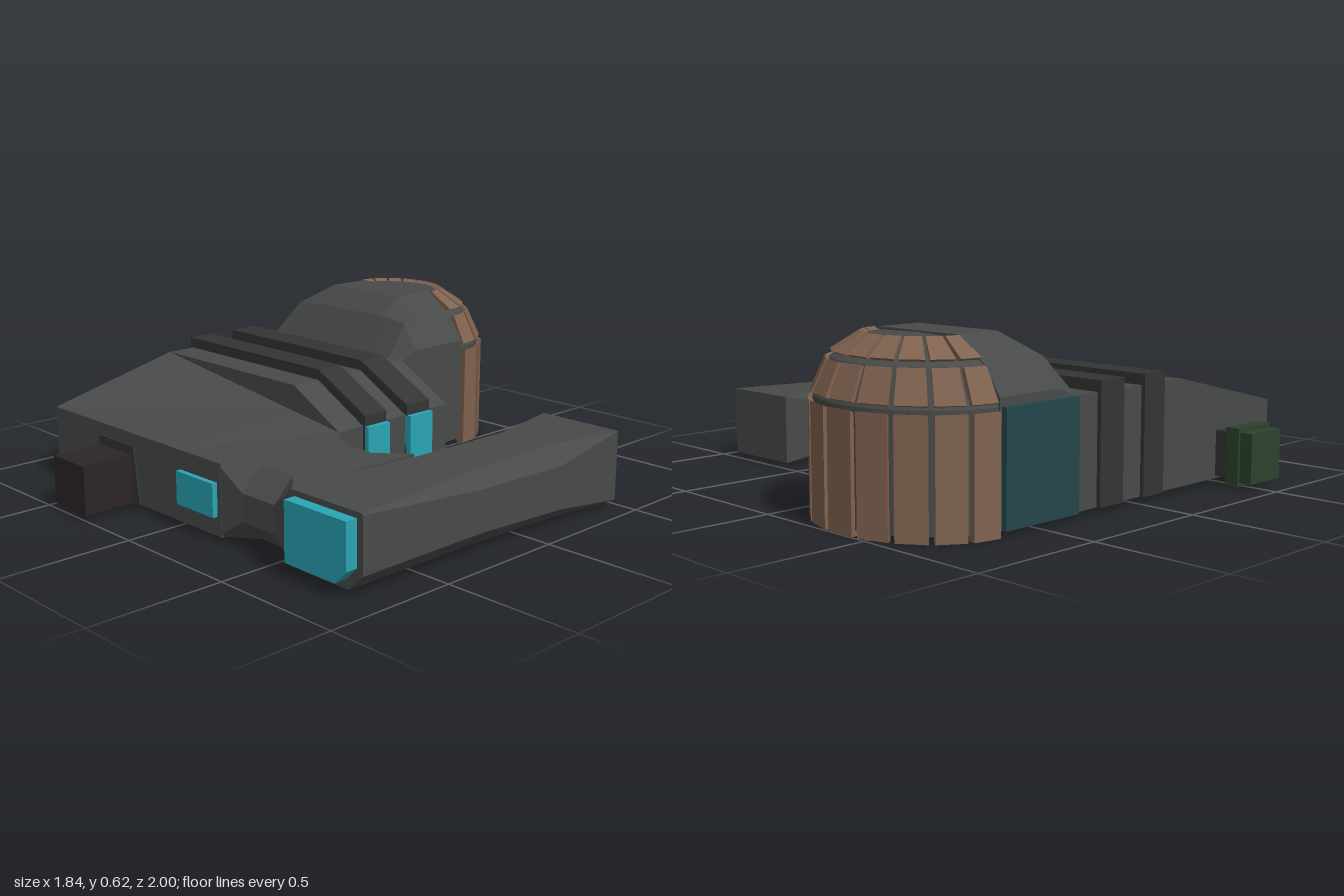
import * as THREE from 'three';
import { ConvexGeometry } from 'three/addons/geometries/ConvexGeometry.js';

const mat = (color) => new THREE.MeshStandardMaterial({ color, flatShading: true, side: THREE.DoubleSide });
const HULL = mat(0x484a4a), DARK = mat(0x333434), ENTRY = mat(0x2c2526), TEAL = mat(0x24474b);
const GLASS = mat(0x2aa5b5), BROWN = mat(0x80624f), GREEN = mat(0x2c422c);

// Skin a run of equal-length convex rings, counter-clockwise about the direction of travel
function loft(rings) {
  const n = rings[0].length, pos = [];
  const tri = (...pts) => pts.forEach((p) => pos.push(...p));
  for (let i = 0; i < rings.length - 1; i++) {
    for (let j = 0; j < n; j++) {
      const k = (j + 1) % n, a = rings[i][j], b = rings[i][k], c = rings[i + 1][k], d = rings[i + 1][j];
      tri(a, b, c, a, c, d);
    }
  }
  const first = rings[0], last = rings[rings.length - 1];
  for (let j = 1; j < n - 1; j++) {
    tri(first[0], first[j + 1], first[j]);
    tri(last[0], last[j], last[j + 1]);
  }
  const geo = new THREE.BufferGeometry();
  geo.setAttribute('position', new THREE.Float32BufferAttribute(pos, 3));
  geo.computeVertexNormals();
  return geo;
}

// Rectangle with its four corners cut by c = [u0v0, u1v0, u1v1, u0v1]
function cutRect(u0, u1, v0, v1, c) {
  const [a, b, d, e] = c;
  return [[u0, v0 + a], [u0 + a, v0], [u1 - b, v0], [u1, v0 + b],
    [u1, v1 - d], [u1 - d, v1], [u0 + e, v1], [u0, v1 - e]];
}

export function createModel() {
  const root = new THREE.Group();
  const add = (name, geo, material, parent = root) => {
    const m = new THREE.Mesh(geo, material);
    m.name = name;
    parent.add(m);
    return m;
  };
  const box = (name, x0, x1, y0, y1, z0, z1, material, parent) =>
    add(name, new THREE.BoxGeometry(x1 - x0, y1 - y0, z1 - z0), material, parent)
      .position.set((x0 + x1) / 2, (y0 + y1) / 2, (z0 + z1) / 2);
  const plate = (name, pts, z, depth, material) => {
    const shape = new THREE.Shape(pts.map(([x, y]) => new THREE.Vector2(x, y)));
    add(name, new THREE.ExtrudeGeometry(shape, { depth, bevelEnabled: false }), material).position.z = z;
  };

  // Main hall: level roof with a right-hand slope, then a wedge falling to the front
  const hall = (z, yRight, yMid, yLeft) =>
    [[-0.76, 0.02, z], [0.24, 0.02, z], [0.24, yRight, z], [0, yMid, z], [-0.76, yLeft, z]];
  add('mainHall', loft([
    hall(-0.32, 0.28, 0.41, 0.41), hall(0.25, 0.28, 0.41, 0.41),
    hall(0.25, 0.28, 0.311, 0.41), hall(0.79, 0.28, 0.28, 0.28),
  ]), HULL);

  // Two raised bands over the roof, each with a glowing post on the side wall
  for (const [z0, z1] of [[0.02, 0.13], [-0.21, -0.09]]) {
    const ring = (z) => [[-0.775, 0.02, z], [0.25, 0.02, z], [0.25, 0.32, z], [0, 0.45, z], [-0.775, 0.45, z]];
    add('roofBand', loft([ring(z0), ring(z1)]), DARK);
    box('sidePost', 0.24, 0.27, 0.03, 0.28, z0, z1, GLASS);
  }

  // Rear hall: faceted vault rising from the main roof
  const vault = [[0.38, 0.44], [0.31, 0.54], [0.19, 0.62]];
  const rearRing = ([z, top]) => [
    [-0.76, 0.02, z], [0, 0.02, z],
    ...vault.map(([w, y]) => [-0.38 + w, Math.min(y, top), z]),
    ...[...vault].reverse().map(([w, y]) => [-0.38 - w, Math.min(y, top), z]),
  ];
  add('rearHall', loft([[-0.67, 0.62], [-0.49, 0.62], [-0.4, 0.55], [-0.32, 0.41]].map(rearRing)), HULL);
  box('leftWallPanel', -0.78, -0.75, 0.02, 0.41, -0.66, -0.32, TEAL);

  // Half dome behind the rear hall
  const dome = new THREE.Group();
  dome.name = 'dome';
  dome.position.set(-0.38, 0, -0.67);
  dome.scale.z = 0.84;
  root.add(dome);
  const profile = [[0, 0.02], [0.375, 0.02], [0.375, 0.41], [0.31, 0.535], [0.19, 0.61], [0, 0.615]];
  add('domeShell', new THREE.LatheGeometry(profile.map(([r, y]) => new THREE.Vector2(r, y)),
    18, Math.PI / 2, Math.PI), HULL, dome);

  // Window panes standing proud of the dome, in three tiers
  const tiers = [
    [[0.395, 0], [0.395, 0.4]],
    [[0.385, 0.425], [0.33, 0.535]],
    [[0.31, 0.558], [0.205, 0.62]],
  ];
  const panes = 9;
  for (const tier of tiers) {
    for (let i = 0; i < panes; i++) {
      const pts = [];
      for (const t of [i + 0.08, i + 0.92]) {
        const a = (t / panes) * Math.PI;
        for (const [r, y] of tier) {
          for (const d of [0, 0.035]) {
            pts.push(new THREE.Vector3(Math.cos(a) * (r - d), Math.max(0, y - d * 0.4), -Math.sin(a) * (r - d)));
          }
        }
      }
      add('domePane', new ConvexGeometry(pts), BROWN, dome);
    }
  }

  // Side wing: long arm whose edges are cut away mid-length
  const armRing = ([z, top, bottom]) =>
    cutRect(0.58, 0.915, 0.02, 0.28, [bottom, bottom, top, top]).map(([x, y]) => [x, y, z]);
  add('sideWing', loft([
    [-0.49, 0, 0], [-0.17, 0.06, 0.04], [0.25, 0.05, 0.06], [0.79, 0.005, 0.06],
  ].map(armRing)), HULL);

  // Passage from hall to wing, with a waist
  const passageRing = ([x, c, inset]) =>
    cutRect(0.02, 0.28, 0.24 + inset, 0.79 - inset / 2, [c, c, c, c]).map(([y, z]) => [x, y, z]);
  add('passage', loft([
    [0.22, 0, 0], [0.34, 0.08, 0.02], [0.5, 0.08, 0.02], [0.6, 0, 0],
  ].map(passageRing)), HULL);

  // Front windows
  plate('wingWindow', [[0.61, 0.05], [0.84, 0.05], [0.89, 0.1], [0.89, 0.26], [0.61, 0.26]], 0.78, 0.055, GLASS);
  box('hallWindow', 0.02, 0.22, 0.09, 0.21, 0.78, 0.81, GLASS);

  // Entrance tunnel and its surround
  plate('entranceFrame', [[-0.48, 0.02], [-0.22, 0.02], [-0.25, 0.235], [-0.46, 0.235]], 0.78, 0.018, DARK);
  box('entranceTunnel', -0.45, -0.26, 0.02, 0.2, 0.78, 1, ENTRY);

  // Docking port on the right flank
  box('portNeck', -0.83, -0.75, 0.03, 0.2, 0.46, 0.63, DARK);
  box('portCollar', -0.87, -0.815, 0.005, 0.22, 0.445, 0.645, GREEN);
  box('portEnd', -0.92, -0.86, 0.02, 0.205, 0.455, 0.635, GREEN);

  // Small feet under the hall
  for (let i = -1; i <= 1; i++) {
    for (let j = -1; j <= 1; j++) {
      if (!i && !j) continue;
      const x = -0.43 + i * 0.18, z = 0.02 + j * 0.18;
      box('foot', x - 0.035, x + 0.035, 0.008, 0.03, z - 0.035, z + 0.035, DARK);
    }
  }
  return root;
}
